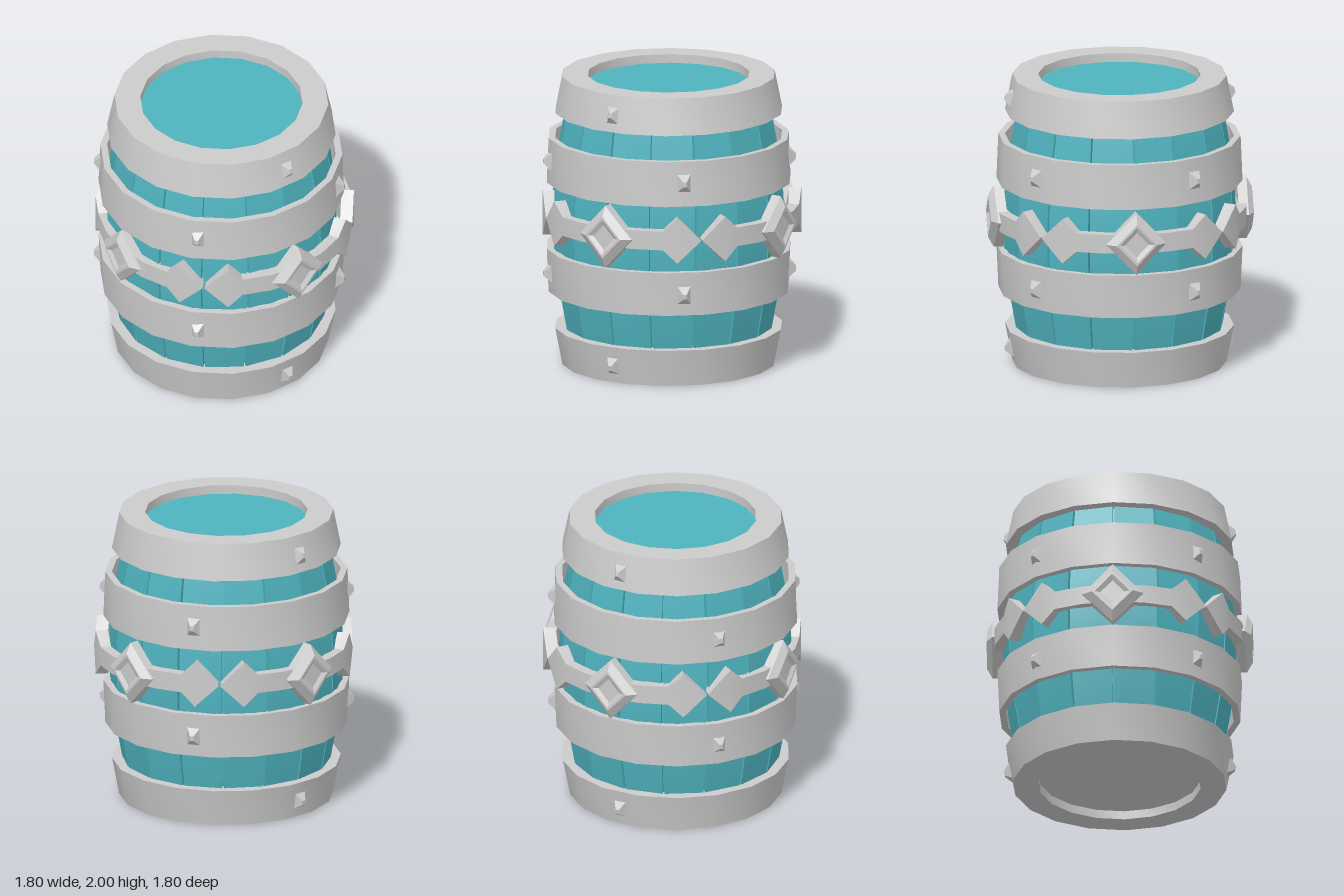
import * as THREE from 'three';
import { toCreasedNormals } from 'three/addons/utils/BufferGeometryUtils.js';

const grey = new THREE.MeshStandardMaterial({ color: 0xcccccc });
const teal = new THREE.MeshStandardMaterial({ color: 0x4fb3bf });
const rad = THREE.MathUtils.degToRad;
const SIDES = 18;

function part(name, geometry, material = grey) {
  const mesh = new THREE.Mesh(toCreasedNormals(geometry, rad(24)), material);
  mesh.name = name;
  return mesh;
}

// Point on a cylinder; angle 0 is the front, 90 the left side
const polar = (r, deg, y) => [r * Math.sin(rad(deg)), y, r * Math.cos(rad(deg))];

// Skin over four-cornered cross-sections, capped at both ends
function loft(sections) {
  const pos = sections.flat(2), idx = [], last = (sections.length - 1) * 4;
  for (let s = 0; s < last; s += 4) {
    for (let k = 0; k < 4; k++) {
      const a = s + k, b = s + (k + 1) % 4;
      idx.push(a, b, b + 4, a, b + 4, a + 4);
    }
  }
  idx.push(0, 3, 2, 0, 2, 1, last, last + 1, last + 2, last, last + 2, last + 3);
  const g = new THREE.BufferGeometry();
  g.setAttribute('position', new THREE.Float32BufferAttribute(pos, 3));
  g.setIndex(idx);
  return g;
}

function lathe(points, sides = SIDES, start = Math.PI / SIDES) {
  return new THREE.LatheGeometry(points.map(p => new THREE.Vector2(...p)), sides, start);
}

// Closed hoop from inner radius and the two outer radii
function hoop(name, y0, y1, r0, r1, i0, i1) {
  return part(name, lathe([[i0, y0], [r0, y0], [r1, y1], [i1, y1], [i0, y0]]));
}

// Pyramid stud with a blunt tip, standing on a hoop
function stud(deg, y, r, tilt = 0) {
  const g = new THREE.CylinderGeometry(0.018, 0.0707, 0.055, 4);
  g.rotateY(Math.PI / 4).rotateX(Math.PI / 2);
  g.scale(0.96, 1.3, 1).rotateX(rad(tilt)).translate(0, y, r + 0.02).rotateY(rad(deg));
  return part('stud', g);
}

// One quarter of the ornamental belt, facing +z
function beltQuarter() {
  const group = new THREE.Group();
  group.name = 'beltQuarter';
  const half = [[44.6, 0.003], [34, 0.155], [27.5, 0.065], [14, 0.065]];
  const stations = [...half.map(([d, h]) => [-d, h]), [0, 0.065], ...half.slice().reverse()];
  const bar = loft(stations.map(([d, h]) => {
    const out = Math.abs(d) > 30 ? 0.875 : 0.862;
    return [polar(out, d, h), polar(out, d, -h), polar(0.79, d, -h), polar(0.79, d, h)];
  }));
  group.add(part('beltBar', bar));

  // Large diamond: bevelled frame around a sunken face
  const diamond = lathe([[0, 0.795], [0.215, 0.795], [0.215, 0.862], [0.145, 0.9],
    [0.125, 0.9], [0.085, 0.882], [0, 0.882]], 4, 0);
  diamond.rotateX(Math.PI / 2).scale(0.95, 1, 1);
  // Sides curve back slightly with the barrel
  const p = diamond.attributes.position;
  for (let i = 0; i < p.count; i++) p.setZ(i, p.getZ(i) - 0.2 * p.getX(i) ** 2);
  group.add(part('beltDiamond', diamond));
  return group;
}

export function createModel() {
  const model = new THREE.Group();
  model.name = 'barrel';
  const body = new THREE.Group();
  body.name = 'barrelBody';
  body.position.x = -0.027;
  model.add(body);

  // Bulging staves with narrow gaps over a recessed core
  const profile = [[0.06, 0.665], [0.25, 0.705], [0.51, 0.752], [0.8, 0.785], [1, 0.792],
    [1.2, 0.785], [1.49, 0.752], [1.75, 0.705], [1.94, 0.665]];
  const w = 10.7;
  const staveShape = loft(profile.map(([y, r]) =>
    [polar(r, -w, y), polar(r, w, y), polar(r - 0.05, w, y), polar(r - 0.05, -w, y)]));
  for (let i = 0; i < 16; i++) {
    const stave = part('stave', staveShape, teal);
    stave.rotation.y = rad(11.25 + i * 22.5);
    body.add(stave);
  }
  body.add(part('core', lathe(profile.map(([y, r]) => [r - 0.04, y]), 16, 0), teal));

  // Sunken lid and base
  const lid = new THREE.CircleGeometry(0.56, SIDES).rotateX(-Math.PI / 2).translate(0, 1.94, 0);
  const base = new THREE.CircleGeometry(0.56, SIDES).rotateX(Math.PI / 2).translate(0, 0.06, 0);
  body.add(part('lid', lid, teal), part('base', base));

  // End rims, reaching inward over the lid and base
  body.add(part('topRim', lathe([[0.67, 1.75], [0.775, 1.75], [0.725, 2], [0.55, 2], [0.55, 1.93]])));
  body.add(part('bottomRim', lathe([[0.55, 0.07], [0.55, 0], [0.725, 0], [0.775, 0.255], [0.67, 0.255]])));

  // Middle hoops
  body.add(hoop('upperHoop', 1.27, 1.58, 0.833, 0.82, 0.785, 0.775));
  body.add(hoop('lowerHoop', 0.51, 0.81, 0.82, 0.833, 0.775, 0.785));

  // Studs: front and back on the rims, four around each middle hoop
  for (const deg of [0, 180]) {
    body.add(stud(deg + (deg ? -1.2 : 1.2), 1.865, 0.737, -11));
    body.add(stud(deg + (deg ? -1.2 : 1.2), 0.115, 0.735, 11));
  }
  for (const deg of [39, 121, 230, 313]) {
    body.add(stud(deg, 1.43, 0.815, -2), stud(deg, 0.65, 0.815, 2));
  }

  // Ornamental belt in four quarters
  for (let i = 0; i < 4; i++) {
    const quarter = beltQuarter();
    quarter.position.y = 1.045;
    quarter.rotation.y = i * Math.PI / 2;
    model.add(quarter);
  }
  return model;
}
